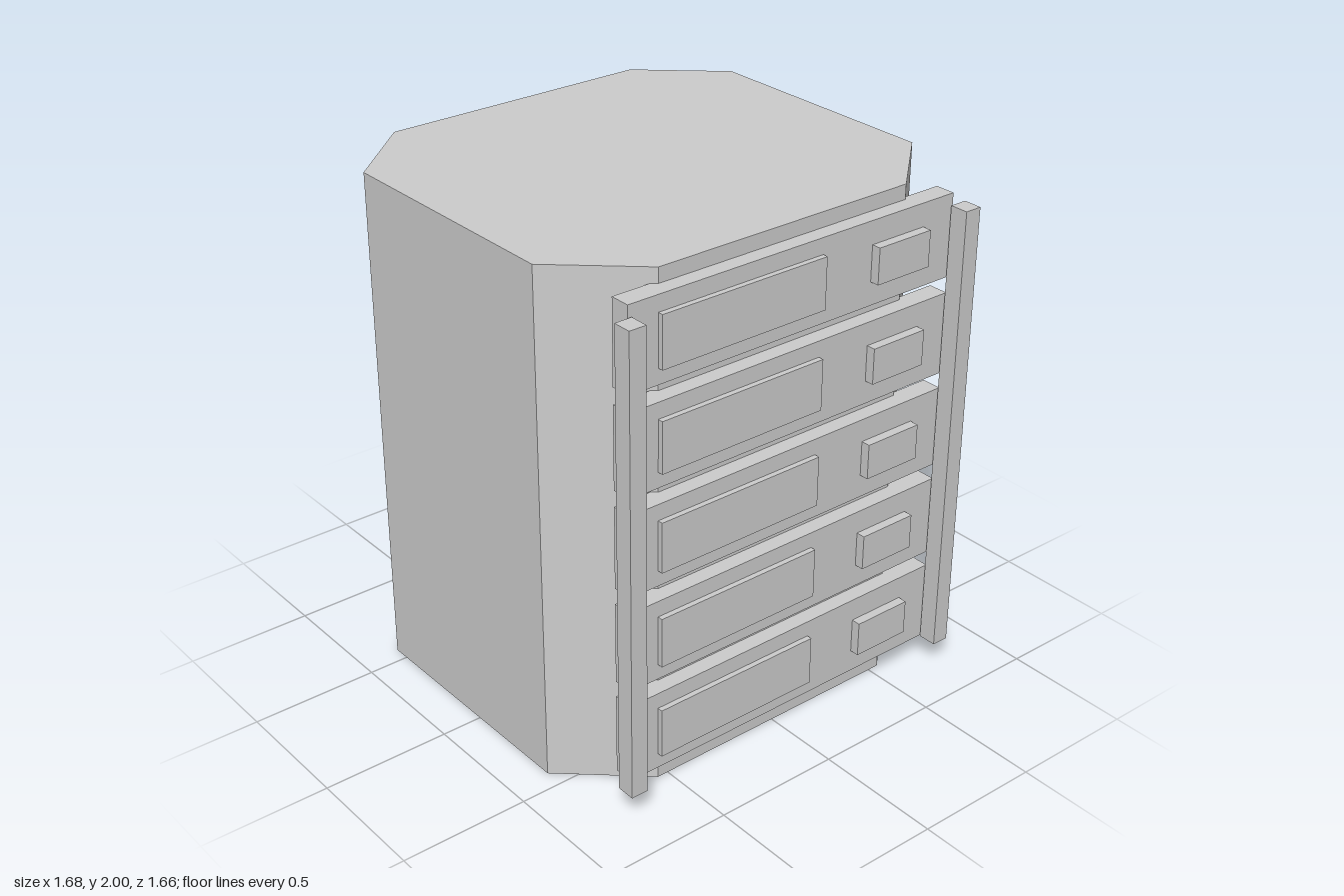
import * as THREE from 'three';

export function createModel() {
  const model = new THREE.Group();
  model.name = 'drawerCabinet';
  const grey = new THREE.MeshStandardMaterial({ color: 0xcccccc });
  grey.name = 'grey';

  // Box given by its minimum and maximum corners
  function box(name, [x0, y0, z0], [x1, y1, z1], parent = model) {
    const mesh = new THREE.Mesh(new THREE.BoxGeometry(x1 - x0, y1 - y0, z1 - z0), grey);
    mesh.position.set((x0 + x1) / 2, (y0 + y1) / 2, (z0 + z1) / 2);
    mesh.name = name;
    parent.add(mesh);
  }

  // Cabinet body: a tall prism with chamfered corners (shape y is -z)
  const outline = new THREE.Shape([
    [0.545, -0.69], [0.84, -0.425], [0.84, 0.565], [0.545, 0.83],
    [-0.545, 0.83], [-0.84, 0.565], [-0.84, -0.425], [-0.545, -0.69],
  ].map(([x, y]) => new THREE.Vector2(x, y)));
  const bodyGeometry = new THREE.ExtrudeGeometry(outline, { depth: 2, bevelEnabled: false });
  bodyGeometry.rotateX(-Math.PI / 2);
  const body = new THREE.Mesh(bodyGeometry, grey);
  body.name = 'body';
  model.add(body);

  // Five stacked drawer fronts, each with a wide panel and a small block
  for (let i = 0; i < 5; i++) {
    const drawer = new THREE.Group();
    drawer.name = `drawer${i + 1}`;
    drawer.position.y = 0.105 + i * 0.38;
    box('drawerFront', [-0.717, 0, 0.673], [0.717, 0.318, 0.752], drawer);
    box('widePanel', [-0.595, 0.06, 0.748], [0.107, 0.256, 0.773], drawer);
    box('smallBlock', [0.335, 0.09, 0.748], [0.577, 0.228, 0.788], drawer);
    model.add(drawer);
  }

  // Upright rails at both ends of the drawers
  box('leftRail', [0.705, 0.105, 0.757], [0.773, 1.9, 0.83]);
  box('rightRail', [-0.773, 0.105, 0.757], [-0.705, 1.9, 0.83]);

  return model;
}
